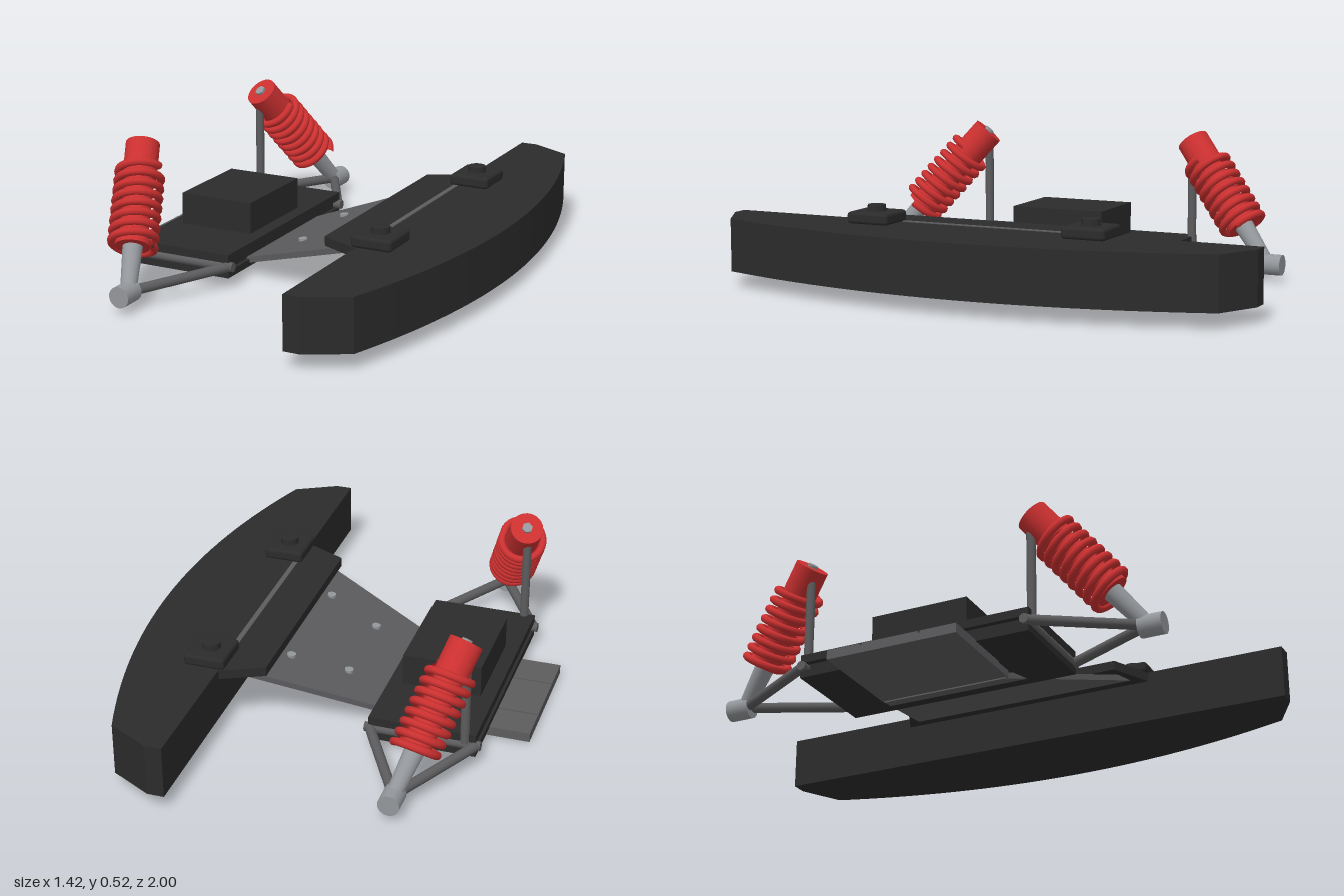
import * as THREE from 'three';
import { RoundedBoxGeometry } from 'three/addons/geometries/RoundedBoxGeometry.js';

const mat = (name, color) => {
  const m = new THREE.MeshStandardMaterial({ color });
  m.name = name;
  return m;
};

export function createModel() {
  const black = mat('black plastic', 0x2b2b2b);
  const grey = mat('dark grey metal', 0x5c5c5e);
  const silver = mat('light grey metal', 0x94979b);
  const red = mat('red', 0xcc3030);
  const model = new THREE.Group();
  model.name = 'frontEnd';

  const add = (name, geometry, material, x = 0, y = 0, z = 0, parent = model) => {
    const mesh = new THREE.Mesh(geometry, material);
    mesh.name = name;
    mesh.position.set(x, y, z);
    parent.add(mesh);
    return mesh;
  };
  // box given by its extents
  const block = (name, material, x0, x1, y0, y1, z0, z1) =>
    add(name, new THREE.BoxGeometry(x1 - x0, y1 - y0, z1 - z0), material, (x0 + x1) / 2, (y0 + y1) / 2, (z0 + z1) / 2);
  // plan outline (x, z) raised from y0 by h
  const slab = (name, material, shape, y0, h) => {
    const g = new THREE.ExtrudeGeometry(shape, { depth: h, bevelEnabled: false, curveSegments: 32 });
    g.rotateX(-Math.PI / 2);
    return add(name, g, material, 0, y0, 0);
  };
  // round bar between two points
  const bar = (name, material, a, b, r0, r1 = r0) => {
    const d = b.clone().sub(a);
    const mesh = add(name, new THREE.CylinderGeometry(r1, r0, d.length(), 16), material);
    mesh.position.copy(a).add(b).multiplyScalar(0.5);
    mesh.quaternion.setFromUnitVectors(new THREE.Vector3(0, 1, 0), d.normalize());
    return mesh;
  };
  const v = (x, y, z) => new THREE.Vector3(x, y, z);

  // curved bumper
  const outline = new THREE.Shape();
  outline.moveTo(0.34, -1);
  outline.lineTo(0.4, -1);
  outline.lineTo(0.55, -0.92);
  outline.quadraticCurveTo(0.87, 0, 0.55, 0.92);
  outline.lineTo(0.4, 1);
  outline.lineTo(0.34, 1);
  outline.closePath();
  slab('bumper', black, outline, 0.05, 0.19);

  // bumper mounting plate
  const mount = new THREE.Shape([[0.19, -0.42], [0.34, -0.49], [0.34, 0.49], [0.19, 0.42]].map(p => new THREE.Vector2(...p)));
  slab('mountPlate', black, mount, 0.205, 0.034);
  block('mountStrip', grey, 0.337, 0.355, 0.236, 0.243, -0.33, 0.33);

  // sloping skid plate, flaring toward the bumper
  const plateY = x => 0.115 + 0.33 * x;
  const plate = new THREE.BoxGeometry(0.67, 0.022, 1);
  const p = plate.attributes.position;
  for (let i = 0; i < p.count; i++) {
    const x = p.getX(i) + 0.005;
    p.setXYZ(i, x, p.getY(i) + plateY(x), Math.sign(p.getZ(i)) * (0.338 + 0.32 * x));
  }
  plate.computeVertexNormals();
  add('skidPlate', plate, grey);

  // flat tail of the skid plate with three raised panels
  block('tailPlate', grey, -0.715, -0.32, 0, 0.026, -0.24, 0.24);
  for (const [z0, z1] of [[-0.24, -0.115], [-0.108, 0.1], [0.107, 0.24]])
    block('tailPanel', grey, -0.715, -0.4, 0.026, 0.034, z0, z1);

  // layered bulkhead and the box on it
  block('lowerDeck', black, -0.57, -0.185, 0.03, 0.055, -0.43, 0.43);
  block('bulkheadCore', black, -0.55, -0.2, 0.055, 0.085, -0.41, 0.41);
  block('upperDeck', black, -0.57, -0.185, 0.085, 0.115, -0.43, 0.43);
  block('gearBox', black, -0.52, -0.235, 0.115, 0.23, -0.18, 0.18);

  // spring coil along -y from the top of the shock
  class Coil extends THREE.Curve {
    getPoint(t, target = new THREE.Vector3()) {
      const a = t * Math.PI * 2 * 8;
      return target.set(Math.cos(a) * 0.076, -0.1 - 0.3 * t, Math.sin(a) * 0.076);
    }
  }
  const coil = new THREE.TubeGeometry(new Coil(), 256, 0.014, 8);

  for (const s of [1, -1]) {
    // clamp pads and bolts on the bumper
    add('clampPad', new RoundedBoxGeometry(0.15, 0.042, 0.16, 2, 0.012), black, 0.395, 0.26, s * 0.41);
    add('clampBolt', new THREE.CylinderGeometry(0.032, 0.034, 0.024, 20), black, 0.395, 0.291, s * 0.41);

    // skid plate screws
    for (const [x, z] of [[-0.03, 0.163], [0.165, 0.227]]) {
      const screw = add('plateScrew', new THREE.CylinderGeometry(0.016, 0.016, 0.012, 16), silver, x, plateY(x) + 0.014, s * z);
      screw.rotation.z = 0.1;
    }

    // hub and A-arm
    const hub = add('hub', new THREE.CylinderGeometry(0.038, 0.038, 0.085, 24), silver, -0.38, 0.055, s * 0.788);
    hub.rotation.x = Math.PI / 2;
    for (const x of [-0.57, -0.187])
      bar('arm', grey, v(x, 0.07, s * 0.42), v(-0.38, 0.058, s * 0.77), 0.018);
    const hinge = bar('armHinge', grey, v(-0.585, 0.07, s * 0.42), v(-0.17, 0.07, s * 0.42), 0.017);
    hinge.scale.z = 1;

    // post holding the shock top
    bar('shockPost', grey, v(-0.53, 0.08, s * 0.425), v(-0.53, 0.455, s * 0.425), 0.016);

    // shock absorber
    const top = v(-0.525, 0.477, s * 0.427), bottom = v(-0.38, 0.06, s * 0.77);
    const shock = new THREE.Group();
    shock.name = 'shock';
    shock.position.copy(top);
    shock.quaternion.setFromUnitVectors(v(0, 1, 0), top.clone().sub(bottom).normalize());
    model.add(shock);
    add('shockCap', new THREE.CylinderGeometry(0.06, 0.06, 0.13, 24), red, 0, -0.065, 0, shock);
    add('shockBody', new THREE.CylinderGeometry(0.05, 0.05, 0.25, 24), red, 0, -0.255, 0, shock);
    add('springCup', new THREE.CylinderGeometry(0.062, 0.062, 0.02, 24), red, 0, -0.385, 0, shock);
    add('spring', coil, red, 0, 0, 0, shock);
    add('shockBolt', new THREE.CylinderGeometry(0.02, 0.02, 0.012, 6), silver, 0, 0.004, 0, shock);
    add('shockRod', new THREE.CylinderGeometry(0.036, 0.028, 0.18, 20), silver, 0, -0.465, 0, shock);
  }
  return model;
}
